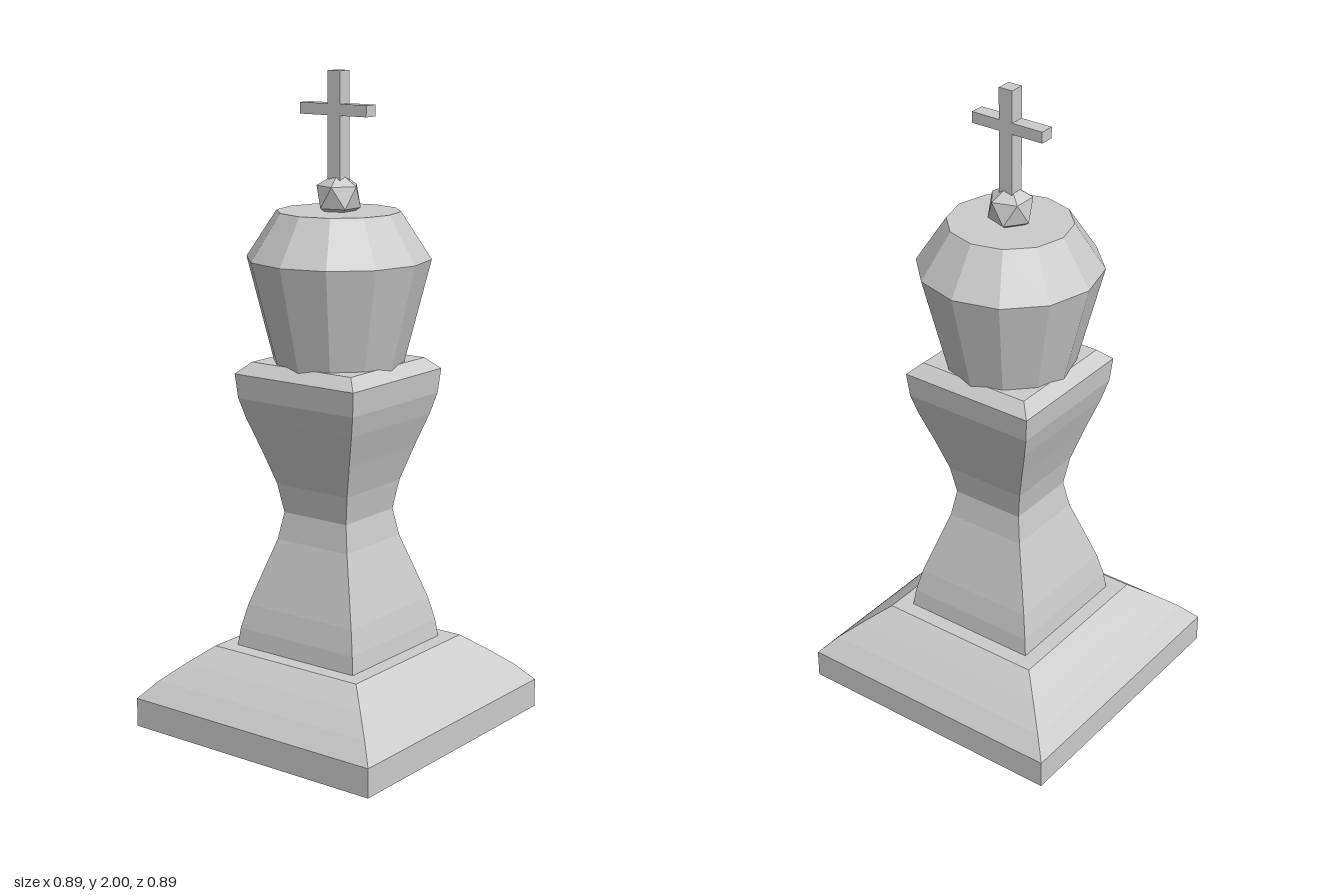
import * as THREE from 'three';

export function createModel() {
  const model = new THREE.Group();
  const material = new THREE.MeshStandardMaterial({ color: 0xcccccc, flatShading: true });

  function add(name, geometry, x = 0, y = 0, z = 0) {
    const mesh = new THREE.Mesh(geometry, material);
    mesh.name = name;
    mesh.position.set(x, y, z);
    model.add(mesh);
    return mesh;
  }

  // Faceted solid of revolution from [radius, y] pairs, bottom to top
  function turned(profile, sides, phiStart = 0) {
    const points = profile.map(([r, y]) => new THREE.Vector2(r, y));
    return new THREE.LatheGeometry(points, sides, phiStart);
  }

  // Square section from [half width, y] pairs, sides facing the axes
  function square(profile) {
    return turned(profile.map(([h, y]) => [h * Math.SQRT2, y]), 4, Math.PI / 4);
  }

  // Square foot with a gently curved slope
  add('base', square([
    [0, 0], [0.444, 0], [0.444, 0.09], [0.395, 0.145], [0.335, 0.198], [0.271, 0.25], [0, 0.25],
  ]));

  // Waisted square column with a bevelled top
  add('column', square([
    [0, 0.24], [0.222, 0.25], [0.215, 0.305], [0.198, 0.38], [0.165, 0.485], [0.133, 0.585],
    [0.118, 0.67], [0.133, 0.76], [0.165, 0.865], [0.198, 0.965], [0.215, 1.03],
    [0.222, 1.105], [0.185, 1.14], [0, 1.14],
  ]));

  // Twelve-sided crown, its lower rim sunk into the column bevel
  add('crown', turned([
    [0, 1.11], [0.191, 1.11], [0.278, 1.45], [0.186, 1.59], [0, 1.59],
  ], 12));

  // Faceted ball standing on one of its corners
  const ball = new THREE.IcosahedronGeometry(0.073, 0);
  ball.rotateZ(-Math.atan2(1, (1 + Math.sqrt(5)) / 2));
  add('finialBall', ball, 0, 1.632, 0);

  // Cross
  add('crossPost', new THREE.BoxGeometry(0.046, 0.38, 0.046), 0, 1.81, 0);
  add('crossBar', new THREE.BoxGeometry(0.243, 0.034, 0.0455), -0.004, 1.887, 0);

  return model;
}
